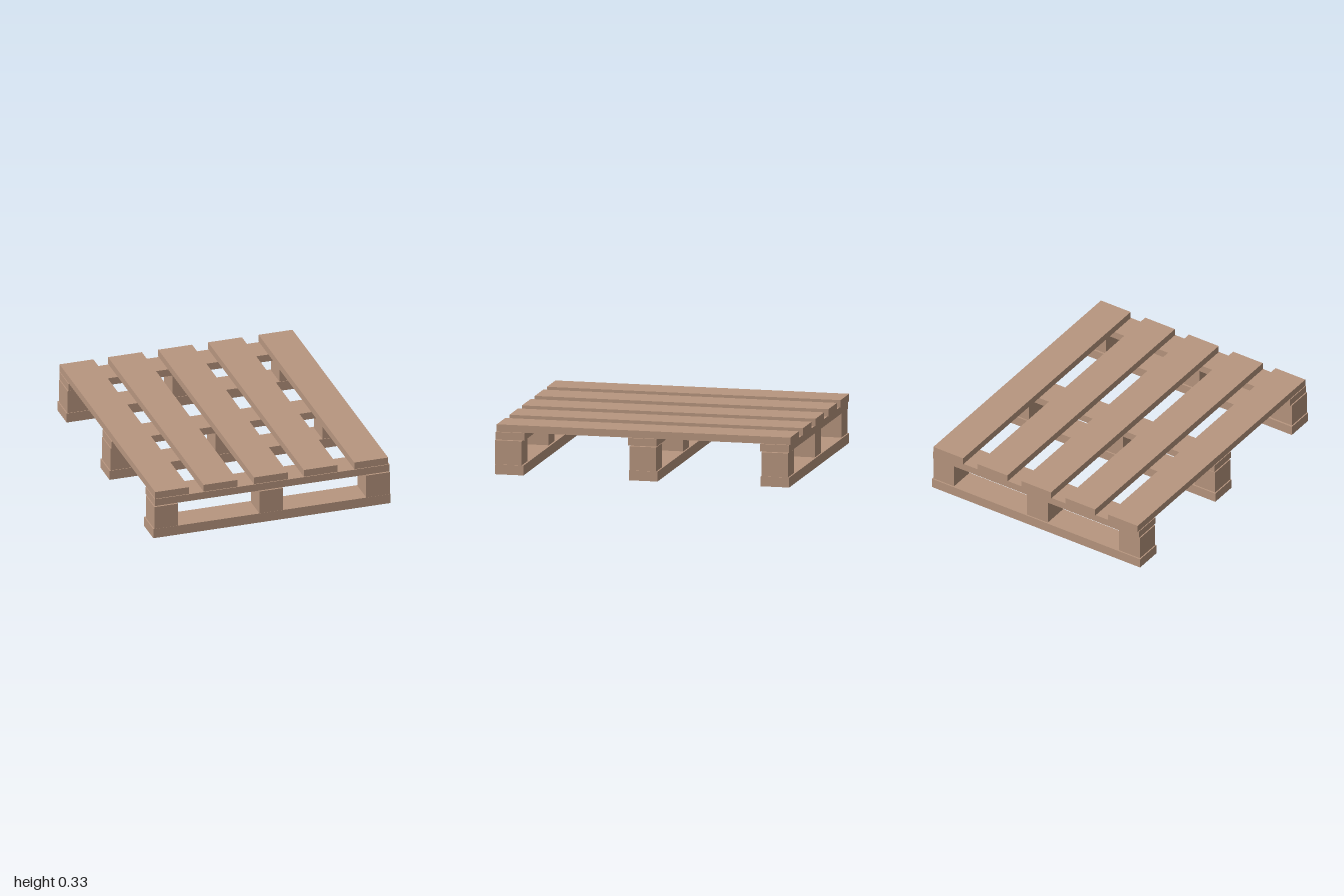
import * as THREE from 'three';

export function createModel() {
  const pallet = new THREE.Group();
  pallet.name = 'pallet';
  const wood = new THREE.MeshStandardMaterial({ color: 0xb8967f, flatShading: true });

  // Box given by its [min, max] extent on each axis
  function plank(name, [x0, x1], [y0, y1], [z0, z1]) {
    const mesh = new THREE.Mesh(new THREE.BoxGeometry(x1 - x0, y1 - y0, z1 - z0), wood);
    mesh.position.set((x0 + x1) / 2, (y0 + y1) / 2, (z0 + z1) / 2);
    mesh.name = name;
    pallet.add(mesh);
  }
  const around = (centre, width) => [centre - width / 2, centre + width / 2];

  // Top deck boards, running front to back
  for (const x of [-0.691, -0.355, -0.006, 0.34, 0.69]) {
    plank('deckBoard', around(x, 0.235), [0.283, 0.332], [-1, 0.991]);
  }

  // Three rows, each a bottom runner, three blocks and a cross board
  const rows = [
    { runner: 0.903, block: 0.909, cross: 0.898 },
    { runner: -0.006, block: -0.003, cross: 0.002 },
    { runner: -0.899, block: -0.896, cross: -0.895 },
  ];
  for (const row of rows) {
    plank('bottomRunner', [-0.825, 0.822], [0, 0.066], around(row.runner, 0.194));
    for (const x of [-0.735, -0.006, 0.735]) {
      plank('spacerBlock', around(x, 0.164), [0.066, 0.227], around(row.block, 0.18));
    }
    plank('crossBoard', [-0.813, 0.817], [0.232, 0.282], around(row.cross, 0.194));
  }
  return pallet;
}
